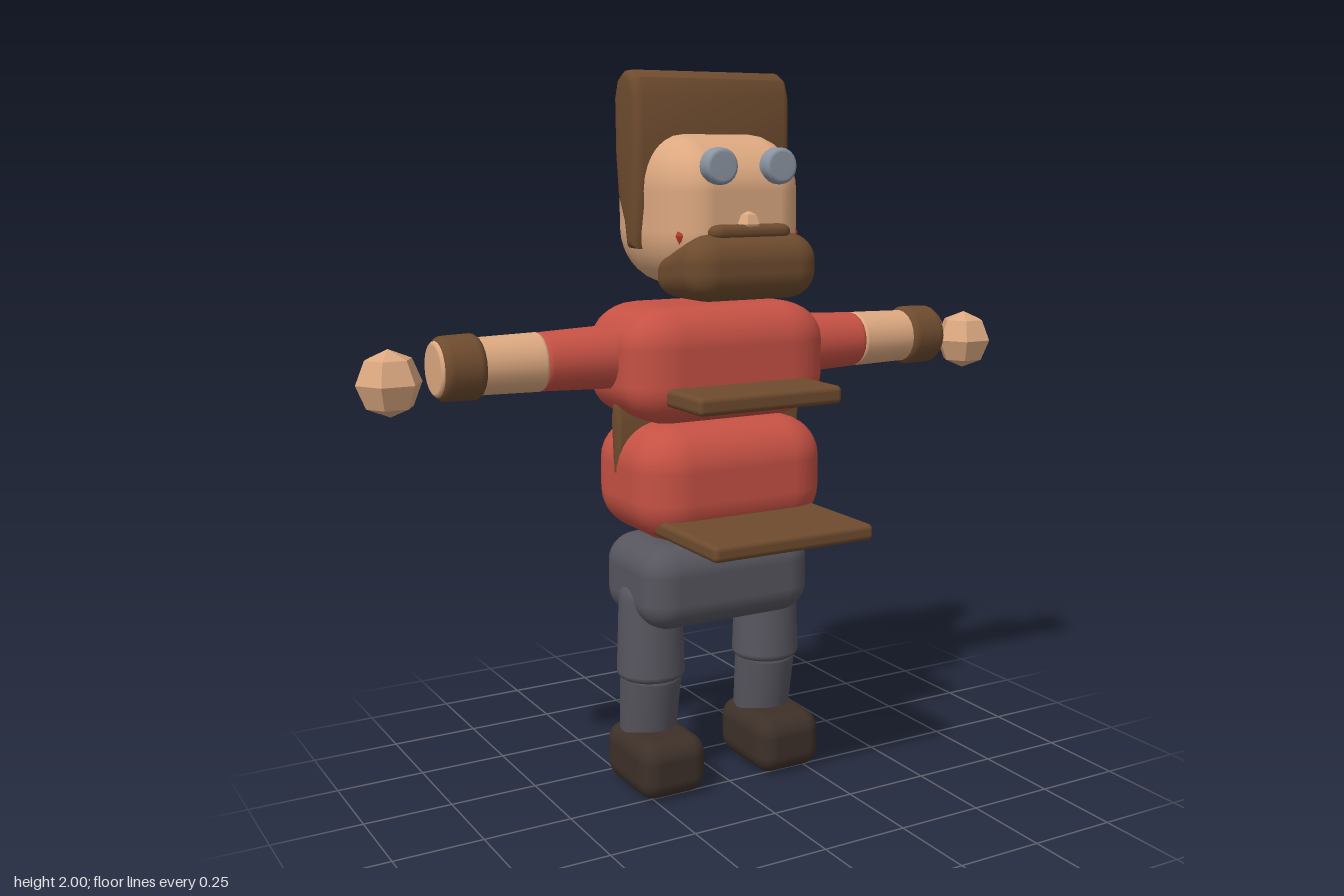
import * as THREE from 'three';
import { toCreasedNormals } from 'three/addons/utils/BufferGeometryUtils.js';
import { RoundedBoxGeometry } from 'three/addons/geometries/RoundedBoxGeometry.js';

const material = (name, color, extra = {}) => {
  const m = new THREE.MeshStandardMaterial({ color, ...extra });
  m.name = name;
  return m;
};

// Box given by its limits, with a separate corner radius along each axis
function softBox([x0, x1], [y0, y1], [z0, z1], [rx, ry, rz], segments = 4) {
  const g = new RoundedBoxGeometry((x1 - x0) / rx, (y1 - y0) / ry, (z1 - z0) / rz, segments, 1);
  g.scale(rx, ry, rz);
  return g.translate((x0 + x1) / 2, (y0 + y1) / 2, (z0 + z1) / 2);
}

// Round limb along y, with radius r0 at the bottom, r1 at the top and softened ends
function limb(r0, r1, length, soft0 = 0.02, soft1 = soft0) {
  const pts = [new THREE.Vector2(0, 0)];
  for (let i = 0; i <= 4; i++) {
    const a = (i / 4) * Math.PI / 2;
    pts.push(new THREE.Vector2(r0 - soft0 + soft0 * Math.sin(a), soft0 * (1 - Math.cos(a))));
  }
  for (let i = 0; i <= 4; i++) {
    const a = (i / 4) * Math.PI / 2;
    pts.push(new THREE.Vector2(Math.max(0, r1 - soft1 + soft1 * Math.cos(a)), length - soft1 * (1 - Math.sin(a))));
  }
  pts.push(new THREE.Vector2(0, length));
  return new THREE.LatheGeometry(pts, 20);
}

// Side profile of [z, y] points extruded across the body
function acrossBody(profile, halfWidth, bevel) {
  const shape = new THREE.Shape(profile.map(([z, y]) => new THREE.Vector2(-z, y)));
  const g = new THREE.ExtrudeGeometry(shape, {
    depth: 2 * (halfWidth - bevel), bevelThickness: bevel, bevelSize: bevel,
    bevelOffset: -bevel, bevelSegments: 3,
  });
  g.translate(0, 0, bevel - halfWidth).rotateY(Math.PI / 2);
  return toCreasedNormals(g, 0.7);
}

export function createModel() {
  const root = new THREE.Group();
  root.name = 'figure';
  const skin = material('skin', 0xdca880);
  const facetedSkin = material('facetedSkin', 0xdca880, { flatShading: true });
  const brown = material('brown', 0x6e4b2e);
  const red = material('shirtRed', 0xc65144);
  const grey = material('trouserGrey', 0x57555e);
  const dark = material('shoeBrown', 0x3d3029);
  const steel = material('eyeGrey', 0x8b95a3);
  const mouthRed = material('mouthRed', 0xb8382c);

  const add = (name, geometry, mat, parent = root) => {
    const mesh = new THREE.Mesh(geometry, mat);
    mesh.name = name;
    parent.add(mesh);
    return mesh;
  };

  // Head and body
  add('head', softBox([-0.22, 0.22], [1.43, 1.835], [-0.35, 0.1], [0.12, 0.15, 0.2]), skin);
  add('chest', softBox([-0.31, 0.31], [1.06, 1.38], [-0.315, 0.06], [0.14, 0.11, 0.1]), red);
  add('belly', softBox([-0.29, 0.29], [0.735, 1.06], [-0.315, 0.09], [0.13, 0.12, 0.12]), red);
  add('pelvis', softBox([-0.265, 0.265], [0.48, 0.72], [-0.295, 0.04], [0.09, 0.08, 0.08]), grey);

  // Upright hair slab that narrows into sideburns
  add('hair', acrossBody([
    [-0.1, 1.53], [-0.15, 1.53], [-0.165, 1.6], [-0.2, 1.67], [-0.213, 1.78], [-0.215, 1.93],
    [-0.195, 1.98], [-0.16, 2], [-0.13, 2], [-0.095, 1.98], [-0.077, 1.93], [-0.077, 1.64],
  ], 0.24, 0.022), brown);

  // Beard, its top sloping down towards the back
  const beard = softBox([-0.2, 0.2], [1.4, 1.575], [-0.09, 0.165], [0.08, 0.075, 0.07]);
  const p = beard.attributes.position;
  for (let i = 0; i < p.count; i++) {
    const back = THREE.MathUtils.clamp((0.07 - p.getZ(i)) / 0.16, 0, 1);
    const up = (p.getY(i) - 1.4) / 0.175;
    p.setY(i, p.getY(i) - 0.065 * back * up);
  }
  add('beard', beard, brown);
  add('moustache', softBox([-0.12, 0.12], [1.56, 1.6], [0.05, 0.13], [0.03, 0.018, 0.02]), brown);
  const nose = add('nose', new THREE.SphereGeometry(0.035, 6, 4), facetedSkin);
  nose.position.set(0, 1.6, 0.097);

  // Thin shelves on the chest and waist, buckle and side straps
  add('chestStrap', softBox([-0.22, 0.22], [1.12, 1.17], [-0.02, 0.23], [0.015, 0.015, 0.015], 2), brown);
  add('belt', softBox([-0.245, 0.245], [0.765, 0.81], [-0.06, 0.35], [0.015, 0.015, 0.015], 2), brown);
  add('buckle', softBox([-0.085, 0.085], [0.735, 0.75], [0.05, 0.16], [0.006, 0.006, 0.006], 2), brown);
  add('sideStraps', acrossBody([
    [-0.11, 0.91], [-0.14, 0.91], [-0.152, 1.07], [-0.14, 1.11], [-0.11, 1.11], [-0.098, 1.07],
  ], 0.29, 0.01), brown);

  for (const side of [1, -1]) {
    const label = side > 0 ? 'left' : 'right';

    // Eye and mouth corner
    const eye = add(label + 'Eye', limb(0.048, 0.048, 0.05, 0.012), steel);
    eye.rotation.x = Math.PI / 2;
    eye.position.set(side * 0.09, 1.75, 0.075);
    const corner = add(label + 'MouthCorner', new THREE.OctahedronGeometry(0.028), mouthRed);
    corner.scale.set(0.5, 1, 0.5);
    corner.position.set(side * 0.175, 1.57, 0.045);

    // Arm pieces grow outwards along x
    const arm = new THREE.Group();
    arm.name = label + 'Arm';
    arm.rotation.z = -side * Math.PI / 2;
    arm.position.set(0, 1.24, -0.14);
    root.add(arm);
    add('upperArm', limb(0.09, 0.08, 0.29, 0.02), red, arm).position.y = 0.22;
    add('forearm', limb(0.08, 0.074, 0.295, 0.012), skin, arm).position.y = 0.5;
    add('cuff', limb(0.088, 0.086, 0.12, 0.025), brown, arm).position.y = 0.67;
    const hand = add(label + 'Hand', new THREE.SphereGeometry(0.087, 6, 4), facetedSkin);
    hand.position.set(side * 0.913, 1.215, -0.13);

    // Leg and shoe
    const leg = new THREE.Group();
    leg.name = label + 'Leg';
    leg.position.set(side * 0.19, 0, 0);
    root.add(leg);
    add('thigh', limb(0.098, 0.09, 0.285, 0.02, 0.05), grey, leg).position.set(0, 0.32, -0.12);
    const shin = add('shin', limb(0.082, 0.088, 0.2, 0.015), grey, leg);
    shin.position.set(0, 0.14, -0.145);
    shin.rotation.x = 0.13;
    add('shoe', softBox([-0.102, 0.104], [0, 0.17], [-0.235, 0.045], [0.05, 0.055, 0.06]), dark, leg);
  }
  return root;
}
